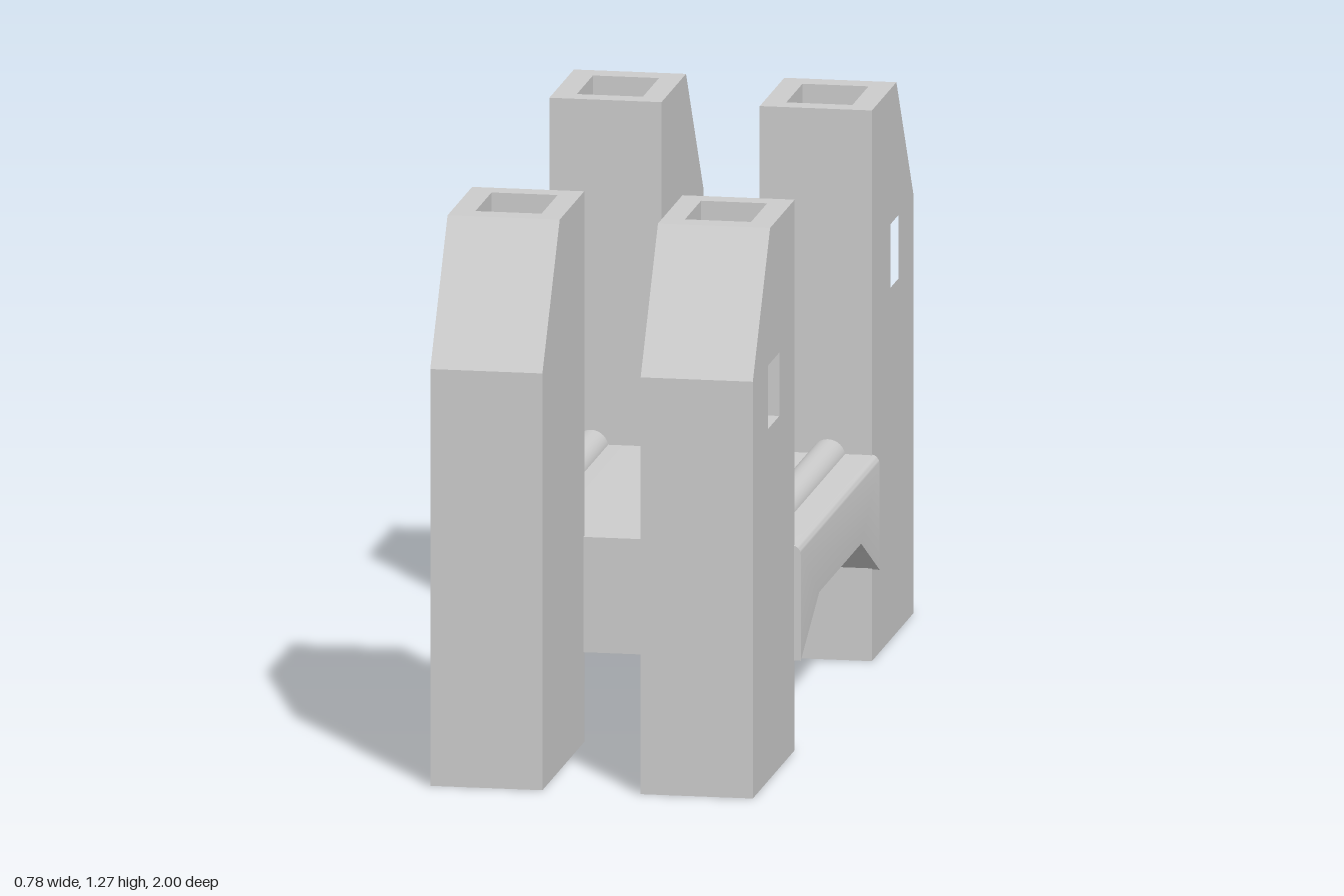
import * as THREE from 'three';
import { toCreasedNormals } from 'three/addons/utils/BufferGeometryUtils.js';

const material = new THREE.MeshStandardMaterial({ color: 0xcccccc });
const rad = 0.04; // rail radius

function shapeOf(points, mirror = 1) {
  return new THREE.Shape(points.map(([z, y]) => new THREE.Vector2(z * mirror, y)));
}

// Extrude a (z, y) outline along x, from x0 to x1
function extrudeX(shape, x0, x1, steps = 1) {
  const g = new THREE.ExtrudeGeometry(shape, { depth: x1 - x0, steps, bevelEnabled: false });
  return g.rotateY(-Math.PI / 2).translate(x1, 0, 0);
}

function add(parent, name, geometry) {
  const mesh = new THREE.Mesh(geometry, material);
  mesh.name = name;
  parent.add(mesh);
  return mesh;
}

// Tower in side-by-side slabs: solid inner wall, core with a socket in the top,
// outer wall with a window recess
function tower(sx, sz) {
  const group = new THREE.Group();
  const foot = [[0.48, 0], [1, 0], [1, 0.965], [0.785, 1.275]];
  const solid = [...foot, [0.48, 1.275]];
  const socketed = [...foot, [0.73, 1.275], [0.73, 1.225], [0.53, 1.225], [0.53, 1.275], [0.48, 1.275]];
  const windowed = shapeOf(solid, sz);
  windowed.holes.push(shapeOf([[0.67, 0.815], [0.81, 0.815], [0.81, 0.962], [0.67, 0.962]], sz));
  const slabs = [
    ['innerWall', shapeOf(solid, sz), 0.113, 0.165],
    ['socketCore', shapeOf(socketed, sz), 0.165, 0.317],
    ['outerWall', windowed, 0.317, 0.371],
  ];
  for (const [name, shape, a, b] of slabs) {
    add(group, name, extrudeX(shape, Math.min(sx * a, sx * b), Math.max(sx * a, sx * b)));
  }
  return group;
}

// Bridge deck with an arched underside and one rounded long top edge
function deckGeometry() {
  const steps = 8, top = 0.477, left = -0.39, right = 0.387, r = 0.022;
  const outline = [[-0.49, 0.21], [-0.26, 0.32], [0.26, 0.32], [0.49, 0.21], [0.49, top], [-0.49, top]];
  const g = extrudeX(shapeOf(outline), 0, steps, steps);
  const p = g.attributes.position;
  for (let i = 0; i < p.count; i++) {
    const k = Math.round(p.getX(i));
    const a = ((k - 1) / (steps - 1)) * Math.PI / 2;
    p.setX(i, k === 0 ? left : right - r + r * Math.sin(a));
    if (k > 0 && p.getY(i) > top - 0.001) p.setY(i, top - r + r * Math.cos(a));
  }
  return toCreasedNormals(g, 0.5);
}

export function createModel() {
  const model = new THREE.Group();
  model.name = 'twinTowerBridge';

  // Four towers
  for (const sx of [-1, 1]) {
    for (const sz of [-1, 1]) {
      const t = tower(sx, sz);
      t.name = (sz > 0 ? 'front' : 'back') + (sx > 0 ? 'Left' : 'Right') + 'Tower';
      model.add(t);
    }
  }

  // Deck and its two round kerb rails
  add(model, 'deck', deckGeometry());
  for (const [name, x] of [['rightRail', -0.275], ['leftRail', 0.27]]) {
    const rail = new THREE.CylinderGeometry(rad, rad, 0.97, 32).rotateX(Math.PI / 2);
    add(model, name, rail).position.set(x, 0.51 - rad, 0);
  }
  return model;
}
